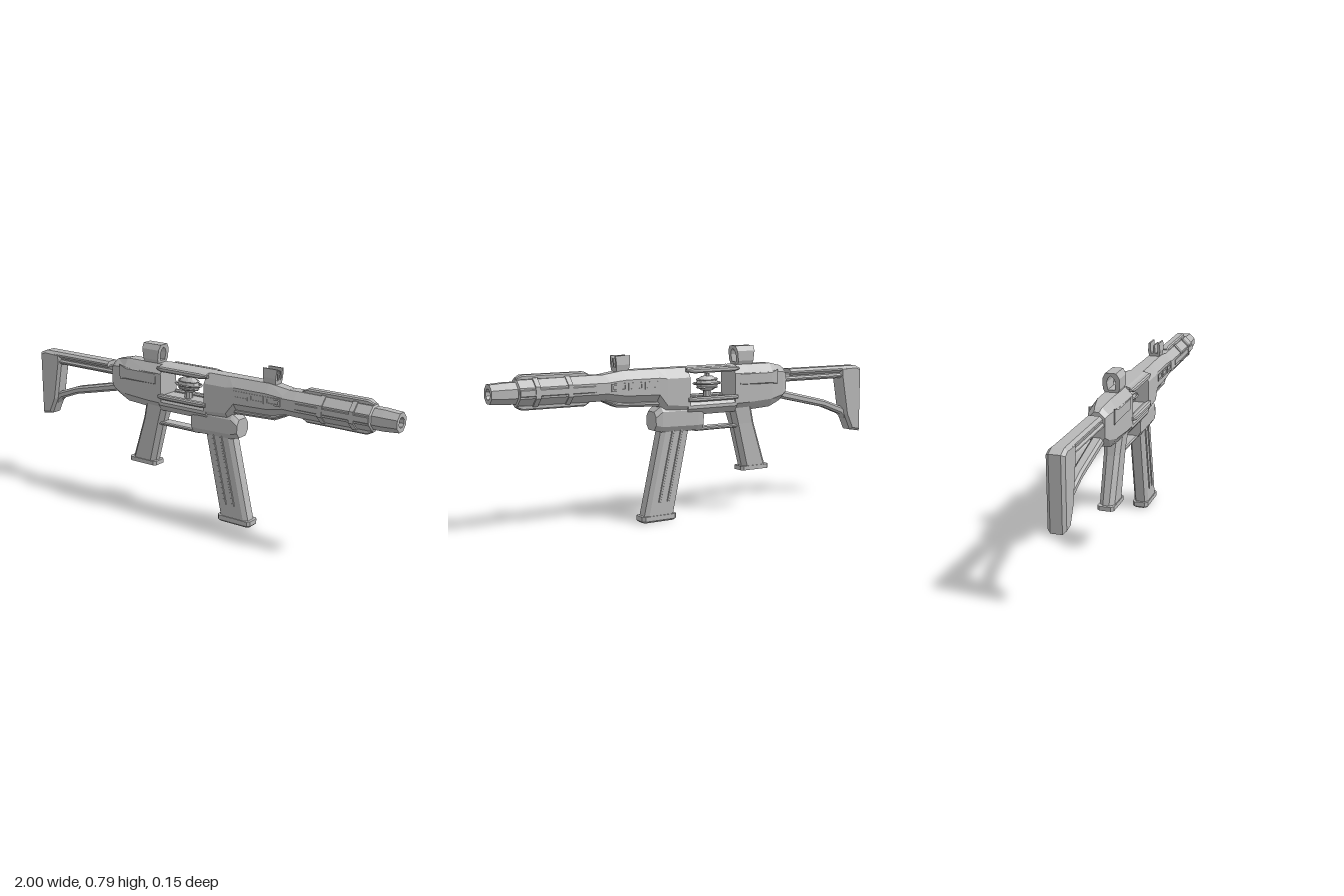
import * as THREE from 'three';

const grey = new THREE.MeshStandardMaterial({ color: 0xb8b8b8, flatShading: true });
grey.name = 'plain grey';

// Chamfered eight-sided loft. Station: [t, low, high, halfWidth, chamferHeight, chamferWidth].
// Along 'x' the section spans y (t ascending); along 'y' it spans x (t descending).
function loft(stations, axis = 'x') {
  const pos = [], idx = [];
  for (const [t, lo, hi, w, c, cw = c] of stations) {
    const ring = [[hi, -w + cw], [hi, w - cw], [hi - c, w], [lo + c, w],
      [lo, w - cw], [lo, -w + cw], [lo + c, -w], [hi - c, -w]];
    for (const [a, z] of ring) axis === 'x' ? pos.push(t, a, z) : pos.push(a, t, z);
  }
  const last = (stations.length - 1) * 8;
  for (let s = 0; s < last; s += 8) {
    for (let j = 0; j < 8; j++) {
      const k = (j + 1) % 8;
      idx.push(s + j, s + k, s + 8 + k, s + j, s + 8 + k, s + 8 + j);
    }
  }
  for (let j = 1; j < 7; j++) {
    idx.push(0, j + 1, j, last, last + j, last + j + 1);
  }
  const g = new THREE.BufferGeometry();
  g.setAttribute('position', new THREE.Float32BufferAttribute(pos, 3));
  g.setIndex(idx);
  g.computeVertexNormals();
  return g;
}

const shapeOf = pts => new THREE.Shape(pts.map(p => new THREE.Vector2(...p)));

export function createModel() {
  const root = new THREE.Group();
  const add = (name, geo, x = 0, y = 0, z = 0) => {
    const m = new THREE.Mesh(geo, grey);
    m.name = name;
    m.position.set(x, y, z);
    root.add(m);
    return m;
  };
  const both = (name, geo, z) => [1, -1].forEach(s =>
    add((s > 0 ? 'left ' : 'right ') + name, geo, 0, 0, s * z));

  // Receiver: rear block, sill and roof around the window, front block
  add('receiver rear', loft([
    [-0.515, 0.535, 0.67, 0.036, 0.025], [-0.49, 0.515, 0.685, 0.046, 0.03],
    [-0.42, 0.49, 0.70, 0.056, 0.04, 0.028], [-0.28, 0.482, 0.70, 0.06, 0.04, 0.03],
    [-0.20, 0.48, 0.70, 0.06, 0.04, 0.03]]));
  add('window sill', loft([
    [-0.21, 0.48, 0.555, 0.06, 0.03, 0.022], [0.06, 0.48, 0.555, 0.06, 0.03, 0.022]]));
  add('window roof', loft([
    [-0.21, 0.686, 0.70, 0.055, 0.006, 0.02], [0.06, 0.686, 0.70, 0.055, 0.006, 0.02]]));
  add('receiver front', loft([
    [0.05, 0.48, 0.70, 0.06, 0.045, 0.03], [0.17, 0.49, 0.70, 0.06, 0.045, 0.03],
    [0.21, 0.545, 0.70, 0.058, 0.04, 0.03], [0.38, 0.55, 0.70, 0.057, 0.04, 0.03],
    [0.48, 0.57, 0.685, 0.052, 0.035, 0.03]]));
  add('fore end underside', loft([
    [0.20, 0.53, 0.56, 0.036, 0.01], [0.41, 0.538, 0.565, 0.036, 0.01],
    [0.47, 0.565, 0.58, 0.03, 0.006]]));

  // Raised rims above and below the window
  both('upper window rim', loft([
    [-0.22, 0.68, 0.692, 0.008, 0.004], [-0.19, 0.673, 0.697, 0.014, 0.006],
    [0.03, 0.673, 0.697, 0.014, 0.006], [0.07, 0.68, 0.692, 0.008, 0.004]]), 0.056);
  both('lower window rim', loft([
    [-0.21, 0.545, 0.562, 0.009, 0.004], [-0.18, 0.542, 0.564, 0.015, 0.006],
    [0.03, 0.542, 0.564, 0.015, 0.006], [0.06, 0.545, 0.562, 0.009, 0.004]]), 0.06);
  // Shallow panel on each rear flank
  both('rear flank panel', loft([
    [-0.45, 0.60, 0.67, 0.002, 0.001], [-0.41, 0.605, 0.66, 0.006, 0.004],
    [-0.23, 0.605, 0.66, 0.006, 0.004]]), 0.056);

  // Spindle core inside the window
  const core = add('core', new THREE.SphereGeometry(1, 10, 6), -0.08, 0.618, 0);
  core.scale.set(0.06, 0.038, 0.036);
  [[0.052, 0.018], [0.07, 0], [0.052, -0.018]].forEach(([r, dy]) => {
    const ring = add('core ring', new THREE.TorusGeometry(r, 0.005, 4, 14), -0.08, 0.618 + dy, 0);
    ring.rotation.x = Math.PI / 2;
    ring.scale.y = 0.6;
  });
  add('core pin', new THREE.CylinderGeometry(0.012, 0.02, 0.11, 8), -0.08, 0.61, 0);

  // Three vent frames on each side of the fore end
  const vent = new THREE.Shape();
  vent.moveTo(-0.037, -0.017).lineTo(0.037, -0.017).lineTo(0.037, 0.017).lineTo(-0.037, 0.017);
  vent.holes.push(new THREE.Path([[-0.029, -0.009], [-0.029, 0.009], [0.029, 0.009],
    [0.029, -0.009]].map(p => new THREE.Vector2(...p))));
  const ventGeo = new THREE.ExtrudeGeometry(vent, { depth: 0.012, bevelEnabled: false });
  ventGeo.translate(0, 0, -0.006);
  for (const x of [0.25, 0.333, 0.416]) {
    for (const s of [1, -1]) add('vent frame', ventGeo, x, 0.63, s * 0.054);
  }

  // Barrel with an open octagonal bore
  const k = 1 / Math.cos(Math.PI / 8);
  const profile = [[0, 0.46], [0.056, 0.46], [0.058, 0.52], [0.054, 0.88], [0.046, 0.885],
    [0.046, 0.93], [0.041, 1], [0.022, 1], [0.02, 0.93], [0, 0.93]];
  const barrelGeo = new THREE.LatheGeometry(
    profile.map(([r, h]) => new THREE.Vector2(r * k, h)), 8, Math.PI / 8);
  barrelGeo.rotateZ(-Math.PI / 2);
  add('barrel', barrelGeo, 0, 0.628, 0);
  for (const x of [0.65, 0.8]) {
    const band = new THREE.CylinderGeometry(0.061 * k, 0.061 * k, 0.022, 8, 1, false, Math.PI / 8);
    band.rotateZ(Math.PI / 2);
    add('barrel band', band, x, 0.628, 0);
  }
  // Rails along the four sides of the barrel
  const railGeo = loft([
    [0.54, 0.05, 0.062, 0.014, 0.004], [0.565, 0.05, 0.075, 0.02, 0.006],
    [0.855, 0.05, 0.075, 0.02, 0.006], [0.88, 0.05, 0.062, 0.014, 0.004]]);
  add('upper barrel rail', railGeo, 0, 0.628, 0);
  add('lower barrel rail', railGeo, 0, 0.628, 0).rotation.x = Math.PI;
  both('barrel rail', loft([
    [0.53, 0.613, 0.643, 0.006, 0.003], [0.88, 0.613, 0.643, 0.006, 0.003]]), 0.054);

  // Sights: end-on outlines extruded lengthwise, flaring toward the top
  const sight = (name, shape, x, len) => {
    const g = new THREE.ExtrudeGeometry(shape, { depth: len, bevelEnabled: false });
    g.translate(0, 0, -len / 2);
    g.rotateY(Math.PI / 2);
    const p = g.attributes.position;
    for (let i = 0; i < p.count; i++) p.setX(i, p.getX(i) * (1 + 3.2 * p.getY(i)));
    g.computeVertexNormals();
    add(name, g, x, 0.695, 0);
  };
  const ringShape = shapeOf([[-0.028, 0], [0.028, 0], [0.038, 0.022], [0.038, 0.068],
    [0.024, 0.092], [-0.024, 0.092], [-0.038, 0.068], [-0.038, 0.022]]);
  ringShape.holes.push(shapeOf([[-0.016, 0.016], [-0.02, 0.05], [-0.014, 0.068], [0, 0.08],
    [0.014, 0.068], [0.02, 0.05], [0.016, 0.016]]));
  sight('rear sight', ringShape, -0.275, 0.08);
  sight('front sight', shapeOf([[-0.024, 0], [0.024, 0], [0.03, 0.03], [0.026, 0.07],
    [0.018, 0.07], [0.016, 0.018], [0.006, 0.018], [0.003, 0.06], [-0.003, 0.06],
    [-0.006, 0.018], [-0.016, 0.018], [-0.018, 0.07], [-0.026, 0.07], [-0.03, 0.03]]),
  0.38, 0.06);

  // Grip and trigger guard
  add('grip', loft([
    [0.50, -0.315, -0.19, 0.042, 0.02], [0.42, -0.335, -0.215, 0.037, 0.02],
    [0.21, -0.405, -0.27, 0.034, 0.02]], 'y'));
  add('grip base', loft([
    [0.212, -0.418, -0.257, 0.038, 0.012], [0.192, -0.418, -0.257, 0.038, 0.012]], 'y'));
  add('trigger guard', loft([
    [-0.235, 0.402, 0.418, 0.03, 0.005], [0.0, 0.402, 0.418, 0.03, 0.005]]));

  // Magazine housing, magazine, side ribs and base
  add('magazine housing', loft([
    [-0.032, 0.41, 0.51, 0.046, 0.025, 0.016], [0.0, 0.408, 0.53, 0.05, 0.025, 0.016],
    [0.19, 0.412, 0.53, 0.05, 0.025, 0.016], [0.222, 0.42, 0.505, 0.044, 0.025, 0.018]]));
  add('magazine', loft([
    [0.45, 0.03, 0.178, 0.034, 0.02, 0.012], [0.025, 0.122, 0.275, 0.034, 0.02, 0.012]], 'y'));
  for (const dx of [0, 0.045]) {
    both('magazine rib', loft([
      [0.43, 0.073 + dx, 0.085 + dx, 0.006, 0.002],
      [0.09, 0.15 + dx, 0.162 + dx, 0.006, 0.002]], 'y'), 0.032);
  }
  add('magazine base', loft([
    [0.03, 0.108, 0.288, 0.038, 0.012], [0.008, 0.108, 0.288, 0.038, 0.012],
    [0, 0.116, 0.28, 0.03, 0.012]], 'y'));

  // Skeleton stock
  const buttGeo = new THREE.ExtrudeGeometry(shapeOf([[-0.988, 0.34], [-0.945, 0.348],
    [-0.91, 0.42], [-0.875, 0.61], [-0.875, 0.648], [-0.96, 0.652], [-0.988, 0.64]]),
  { depth: 0.05, bevelThickness: 0.014, bevelSize: 0.012, bevelSegments: 1 });
  add('butt plate', buttGeo, 0, 0, -0.025);
  add('stock upper bar', loft([
    [-0.96, 0.632, 0.664, 0.036, 0.012], [-0.545, 0.632, 0.664, 0.036, 0.012]]));
  add('stock lower bar', loft([
    [-0.97, 0.604, 0.626, 0.034, 0.008], [-0.48, 0.604, 0.626, 0.034, 0.008]]));
  add('stock bar core', loft([
    [-0.94, 0.615, 0.645, 0.024, 0.005], [-0.5, 0.615, 0.645, 0.024, 0.005]]));
  add('stock strut', loft([
    [-0.93, 0.375, 0.43, 0.024, 0.01], [-0.88, 0.42, 0.46, 0.024, 0.01],
    [-0.77, 0.462, 0.50, 0.024, 0.01], [-0.49, 0.525, 0.565, 0.026, 0.01]]));

  return root;
}
